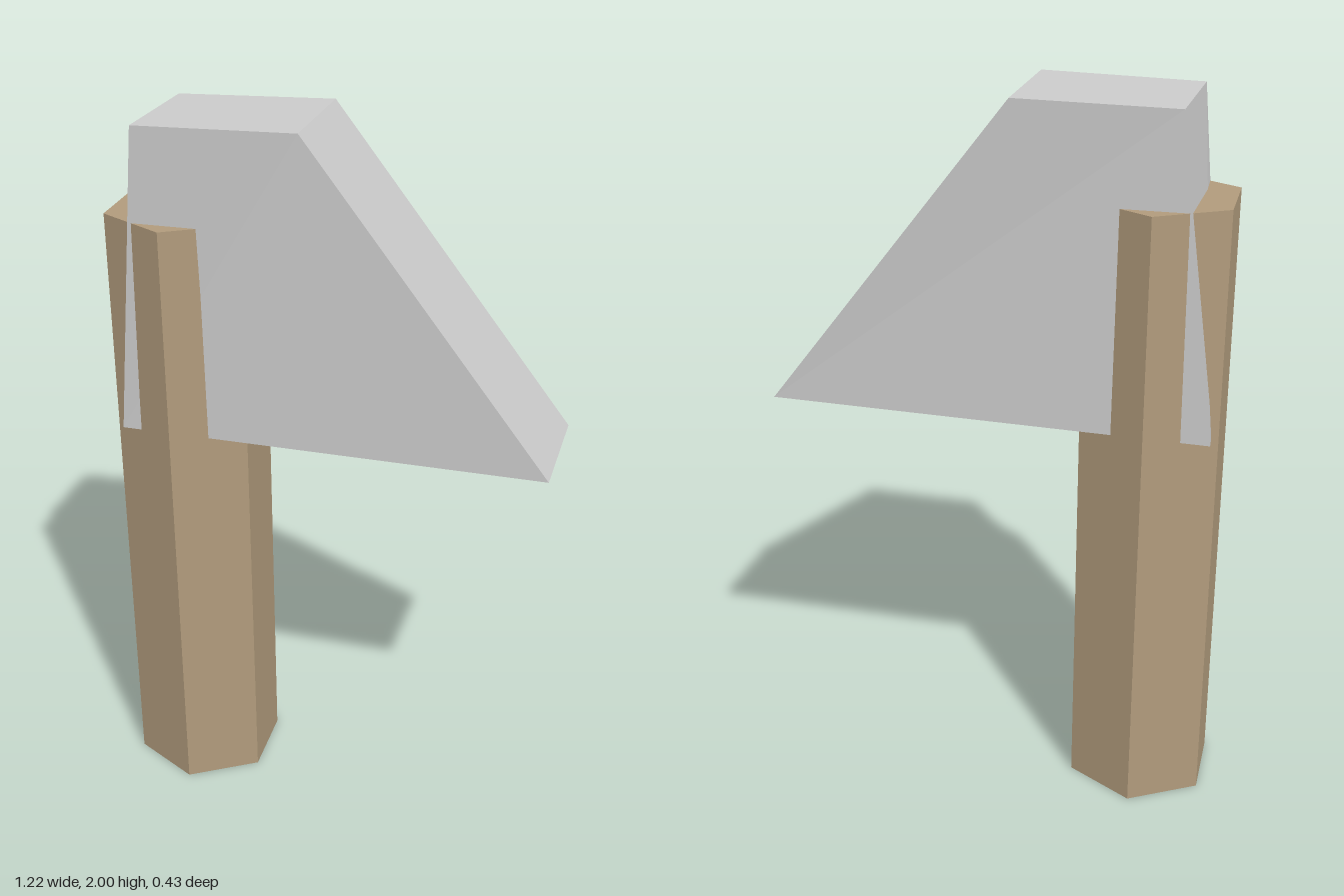
import * as THREE from 'three';

// Box whose eight corners are moved to the given places.
// front and back list: bottom left, bottom right, top right, top left.
function skewedBox(front, back) {
  const geometry = new THREE.BoxGeometry(1, 1, 1);
  const pos = geometry.attributes.position;
  for (let i = 0; i < pos.count; i++) {
    const right = pos.getX(i) > 0;
    const top = pos.getY(i) > 0;
    const corner = top ? (right ? 2 : 3) : (right ? 1 : 0);
    pos.setXYZ(i, ...(pos.getZ(i) > 0 ? front : back)[corner]);
  }
  const flat = geometry.toNonIndexed();
  flat.computeVertexNormals();
  return flat;
}

export function createModel() {
  const group = new THREE.Group();

  // Six-sided wooden post, corners towards front and back
  const wood = new THREE.MeshStandardMaterial({ color: 0xb19b7c, flatShading: true });
  const height = 1.735;
  const post = new THREE.Mesh(new THREE.CylinderGeometry(0.215, 0.215, height, 6), wood);
  post.name = 'post';
  post.position.set(-0.425, height / 2, 0);
  group.add(post);

  // Slightly uneven wedge-shaped head over the top of the post
  const grey = new THREE.MeshStandardMaterial({ color: 0xcccccc, flatShading: true });
  const head = new THREE.Mesh(skewedBox(
    [[-0.58, 1.14, 0.155], [0.597, 1.138, 0.185], [-0.065, 2.0, 0.172], [-0.5, 1.99, 0.167]],
    [[-0.595, 1.118, -0.162], [0.608, 1.138, -0.16], [-0.06, 1.997, -0.18], [-0.487, 1.988, -0.166]],
  ), grey);
  head.name = 'head';
  group.add(head);

  return group;
}
